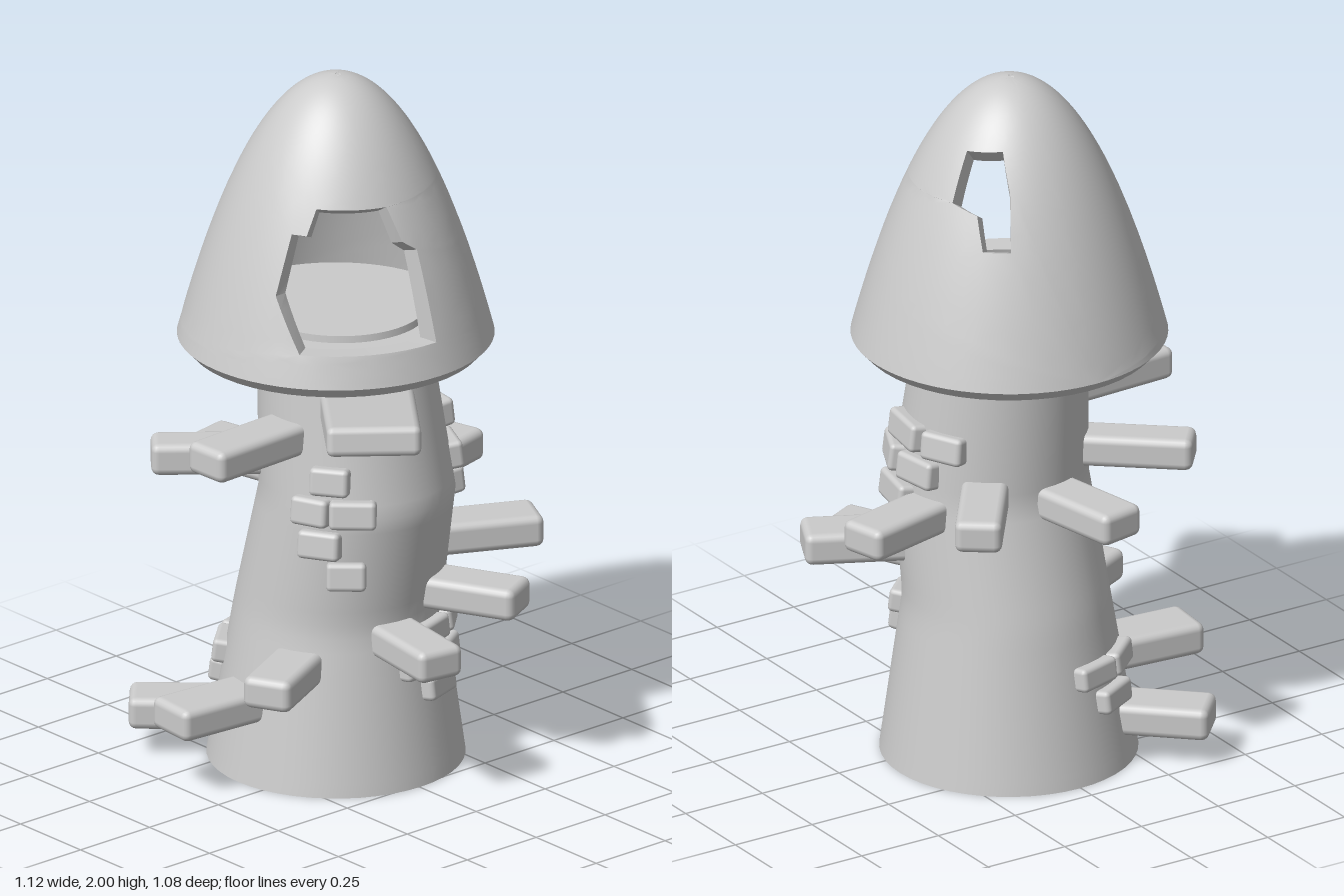
import * as THREE from 'three';
import { toCreasedNormals } from 'three/addons/utils/BufferGeometryUtils.js';
import { RoundedBoxGeometry } from 'three/addons/geometries/RoundedBoxGeometry.js';

const stone = new THREE.MeshStandardMaterial({ color: 0xcccccc, side: THREE.DoubleSide });
const rad = THREE.MathUtils.degToRad;
const ROOF_Z = -0.085;

// Smooth shading with sharp edges kept; scaled up so close vertices stay distinct
function crease(geo, angle = 0.6) {
  const flat = geo.index ? geo.toNonIndexed() : geo;
  flat.scale(100, 100, 100);
  return toCreasedNormals(flat, angle).scale(0.01, 0.01, 0.01);
}

function add(parent, name, geo) {
  const mesh = new THREE.Mesh(geo, stone);
  mesh.name = name;
  parent.add(mesh);
  return mesh;
}

// Tower cross-sections: y, centre x, centre z, radius
const RINGS = [
  [0, 0.005, -0.09, 0.355],
  [0.46, 0.01, -0.085, 0.285],
  [0.8, 0.02, -0.02, 0.27],
  [1.2, 0.015, -0.065, 0.24],
  [1.32, 0.01, -0.075, 0.235],
];

function towerAt(y) {
  let i = 0;
  while (i < RINGS.length - 2 && y > RINGS[i + 1][0]) i++;
  const a = RINGS[i], b = RINGS[i + 1];
  const t = (y - a[0]) / (b[0] - a[0]);
  const [x, z, r] = [1, 2, 3].map((k) => a[k] + (b[k] - a[k]) * t);
  return { x, z, r };
}

// Leaning tower shaft: a cylinder moved onto the cross-sections
function towerGeometry() {
  const geo = new THREE.CylinderGeometry(1, 1, 1.32, 48, 33);
  const p = geo.attributes.position;
  for (let i = 0; i < p.count; i++) {
    const y = p.getY(i) + 0.66;
    const c = towerAt(y);
    p.setXYZ(i, c.x + p.getX(i) * c.r, y, c.z + p.getZ(i) * c.r);
  }
  return crease(geo);
}

// Roof shell: angle u, rise w (0 eave, 1 tip), d 0 inside to 1 outside
function roofPoint([u, w, d]) {
  const q = 1 - w;
  const r = 0.435 * (q + 0.1 * q * w) * (0.84 + 0.16 * d);
  const y = 2 - 0.76 * q * q - (1 - d) * 0.07 * w;
  return [Math.sin(u) * r, y, ROOF_Z + Math.cos(u) * r];
}

// Broken openings as [angle in degrees, height]
const FRONT_HOLE = [[-55, 1.33], [-67.6, 1.476], [-64, 1.64], [-56, 1.64], [-52, 1.71],
  [-11.5, 1.705], [-6.5, 1.61], [1, 1.58], [1, 1.33]];
const BACK_HOLE = [[148, 1.61], [134, 1.61], [129, 1.7], [112.5, 1.72], [112.5, 1.85],
  [142, 1.86], [147.6, 1.76]];

function roofGeometry() {
  const P = Math.PI;
  const shape = new THREE.Shape([[-P, 0], [P, 0], [P, 0.995], [-P, 0.995]]
    .map(([u, w]) => new THREE.Vector2(u, w)));
  for (const hole of [FRONT_HOLE, BACK_HOLE]) {
    shape.holes.push(new THREE.Path(hole.map(([deg, y]) =>
      new THREE.Vector2(rad(deg), 1 - Math.sqrt((2 - y) / 0.76)))));
  }
  const slab = new THREE.ExtrudeGeometry(shape, { depth: 1, bevelEnabled: false });
  const src = slab.attributes.position;
  const out = [];
  const size = (a, b) => Math.hypot(a[0] - b[0], 2.5 * (a[1] - b[1]));
  // Halve the longest edge until the triangles follow the curve
  function split(a, b, c) {
    const ab = size(a, b), bc = size(b, c), ca = size(c, a);
    const longest = Math.max(ab, bc, ca);
    if (longest < 0.14) {
      for (const v of [a, b, c]) out.push(...roofPoint(v));
    } else if (longest === ab) {
      const m = a.map((v, k) => (v + b[k]) / 2);
      split(a, m, c);
      split(m, b, c);
    } else if (longest === bc) split(b, c, a);
    else split(c, a, b);
  }
  const corner = (i) => [src.getX(i), src.getY(i), src.getZ(i)];
  for (let i = 0; i < src.count; i += 3) split(corner(i), corner(i + 1), corner(i + 2));
  const geo = new THREE.BufferGeometry();
  geo.setAttribute('position', new THREE.Float32BufferAttribute(out, 3));
  return crease(geo);
}

// Stair slabs: centre of the outer end x, z, then height y and width
const STEPS = [
  [-0.41, -0.475, 0.125, 0.15],
  [-0.565, -0.135, 0.225, 0.16],
  [-0.46, 0.15, 0.355, 0.14],
  [-0.07, 0.44, 0.43, 0.14],
  [0.25, 0.405, 0.53, 0.14],
  [0.5, 0.185, 0.625, 0.15],
  [0.535, -0.16, 0.76, 0.14],
  [0.345, -0.46, 0.835, 0.13],
  [-0.08, -0.54, 0.8, 0.14],
  [-0.41, -0.385, 0.895, 0.12],
  [-0.535, -0.02, 1.01, 0.14],
];

// Exposed bricks: angle from the front in degrees, height y, width
const BRICKS = [
  // column below the landing
  [-55, 0.91, 0.11], [-68, 0.82, 0.11], [-43, 0.82, 0.13], [-60, 0.725, 0.12], [-42, 0.635, 0.11],
  // upper side patch
  [81, 0.975, 0.16], [115, 0.97, 0.13], [64, 0.88, 0.14], [98, 0.88, 0.14], [78, 0.785, 0.16],
  // lower front patch
  [18, 0.415, 0.13], [43, 0.415, 0.11], [5, 0.338, 0.13], [32, 0.338, 0.12], [18, 0.265, 0.13],
  // lower back patch
  [197, 0.3, 0.14], [222, 0.3, 0.14], [209, 0.215, 0.14],
];

export function createModel() {
  const model = new THREE.Group();
  model.name = 'ruinedTower';
  add(model, 'towerShaft', towerGeometry());

  // Roof with its eave and ceiling
  const roof = new THREE.Group();
  roof.name = 'roof';
  model.add(roof);
  add(roof, 'roofShell', roofGeometry());
  const rim = [[0.36, 1.27], [0.365, 1.21], [0.405, 1.208], [0.435, 1.24]]
    .map(([x, y]) => new THREE.Vector2(x, y));
  add(roof, 'eave', crease(new THREE.LatheGeometry(rim, 48), 0.4)).position.z = ROOF_Z;
  add(roof, 'roofFloor', new THREE.CylinderGeometry(0.36, 0.36, 0.02, 48)).position.set(0, 1.29, ROOF_Z);

  // Spiral stair
  const stair = new THREE.Group();
  stair.name = 'spiralStair';
  model.add(stair);
  for (const [x, z, y, width] of STEPS) {
    const c = towerAt(y);
    const dx = x - c.x, dz = z - c.z;
    const reach = Math.hypot(dx, dz);
    const length = reach - 0.17;
    const step = add(stair, 'step', new RoundedBoxGeometry(width, 0.092, length, 2, 0.022));
    const k = (reach - length / 2) / reach;
    step.position.set(c.x + dx * k, y, c.z + dz * k);
    step.rotation.y = Math.atan2(dx, dz);
  }

  // Wide landing slab under the broken opening
  const landing = add(model, 'landing', new RoundedBoxGeometry(0.26, 0.085, 0.5, 2, 0.02));
  landing.rotation.order = 'YXZ';
  landing.rotation.set(-0.14, Math.atan2(-0.62, 0.78), 0);
  landing.position.set(-0.335 + 0.62 * 0.25, 1.13, 0.46 - 0.78 * 0.25);

  // Bricks standing proud of the wall
  const bricks = new THREE.Group();
  bricks.name = 'bricks';
  model.add(bricks);
  for (const [deg, y, width] of BRICKS) {
    const c = towerAt(y);
    const a = rad(deg);
    const height = y < 0.5 ? 0.068 : 0.08;
    const brick = add(bricks, 'brick', new RoundedBoxGeometry(width, height, 0.06, 2, 0.014));
    brick.rotation.order = 'YXZ';
    brick.rotation.set(-0.12, a, 0);
    brick.position.set(c.x + Math.sin(a) * c.r, y, c.z + Math.cos(a) * c.r);
  }
  return model;
}
